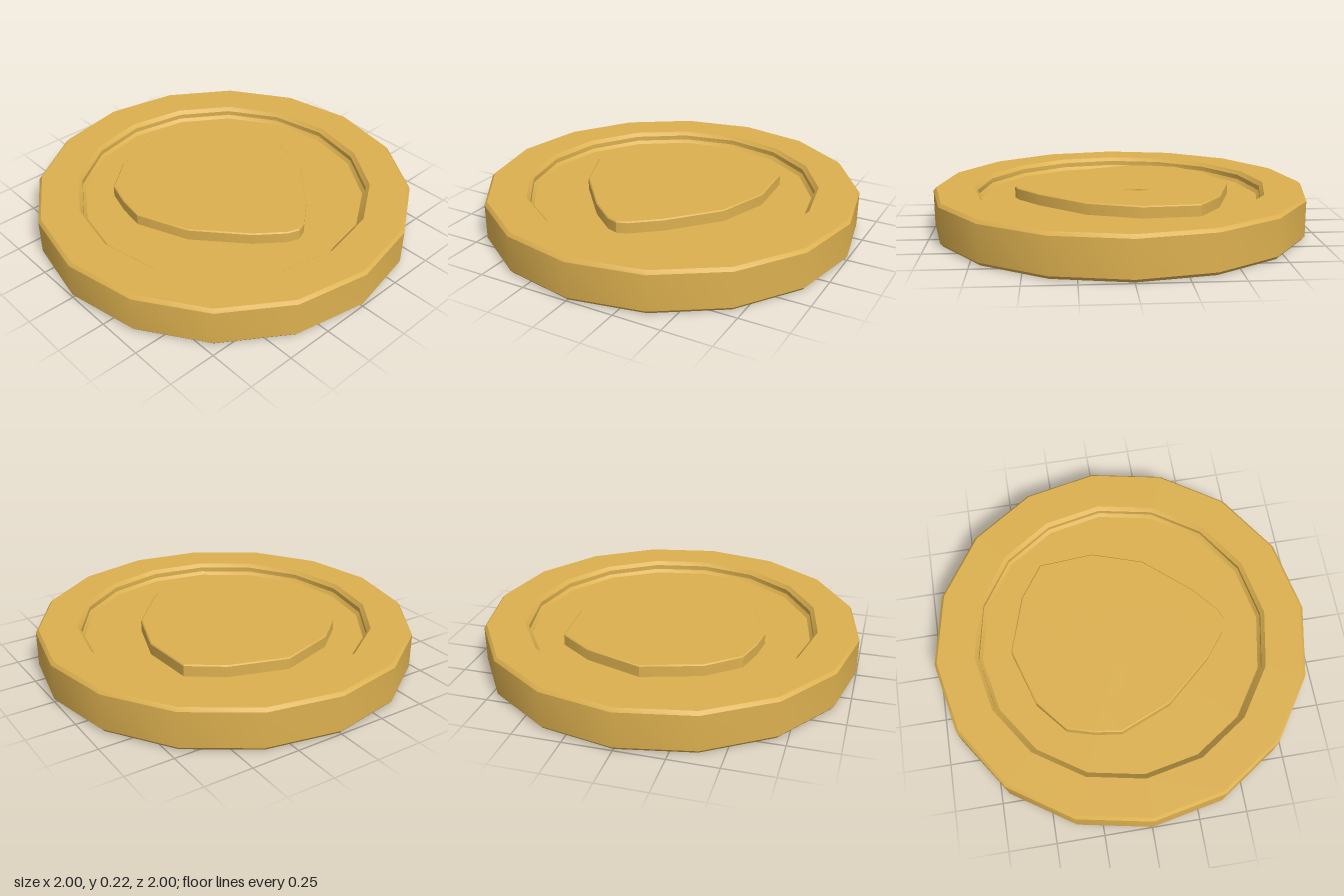
import * as THREE from 'three';
import { toCreasedNormals } from 'three/addons/utils/BufferGeometryUtils.js';

const HEIGHT = 0.22;
const CREASE = 0.45;

// Outlines as [x, z] pairs seen from above
const FACE = [
  [0, -0.59], [0.3, -0.495], [0.475, -0.372], [0.495, -0.08], [0.405, 0.19], [0.195, 0.43],
  [0.055, 0.545], [0, 0.565], [-0.06, 0.545], [-0.2, 0.435], [-0.415, 0.19], [-0.525, -0.08],
  [-0.505, -0.22], [-0.465, -0.36], [-0.3, -0.497],
];
const LEFT_EYE = [
  [0.255, -0.283], [0.35, -0.23], [0.357, -0.1], [0.295, -0.02], [0.13, 0.015], [0.112, -0.13], [0.175, -0.23],
];
const RIGHT_EYE = [
  [-0.34, -0.265], [-0.24, -0.285], [-0.155, -0.23], [-0.105, -0.13], [-0.15, 0.018], [-0.3, -0.02], [-0.362, -0.155],
];

const toPoints = (outline) => outline.map(([x, z]) => new THREE.Vector2(x, -z));

export function createModel() {
  const group = new THREE.Group();
  group.name = 'coin';
  const gold = new THREE.MeshStandardMaterial({ color: 0xdcb04f });
  gold.name = 'gold';

  const add = (name, geometry) => {
    const mesh = new THREE.Mesh(toCreasedNormals(geometry, CREASE), gold);
    mesh.name = name;
    group.add(mesh);
  };

  // Disc with chamfered rim and a recess on both sides
  const upper = [
    [1, 0.203], [0.985, HEIGHT], [0.785, HEIGHT], [0.766, 0.2], [0.766, 0.175], [0.75, 0.158], [0, 0.158],
  ];
  const lower = upper.map(([r, y]) => [r, HEIGHT - y]).reverse();
  const profile = [...lower, ...upper].map(([r, y]) => new THREE.Vector2(r, y));
  add('disc', new THREE.LatheGeometry(profile, 16));

  // Raised face emblem, running through the disc so it shows on both sides
  const shape = new THREE.Shape(toPoints(FACE));
  for (const eye of [LEFT_EYE, RIGHT_EYE]) shape.holes.push(new THREE.Path(toPoints(eye)));
  const bevel = 0.006;
  const face = new THREE.ExtrudeGeometry(shape, {
    depth: HEIGHT - 2 * bevel,
    bevelThickness: bevel,
    bevelSize: bevel,
    bevelOffset: -bevel,
    bevelSegments: 1,
  });
  face.rotateX(-Math.PI / 2).translate(0, bevel, 0);
  add('faceEmblem', face);

  return group;
}
